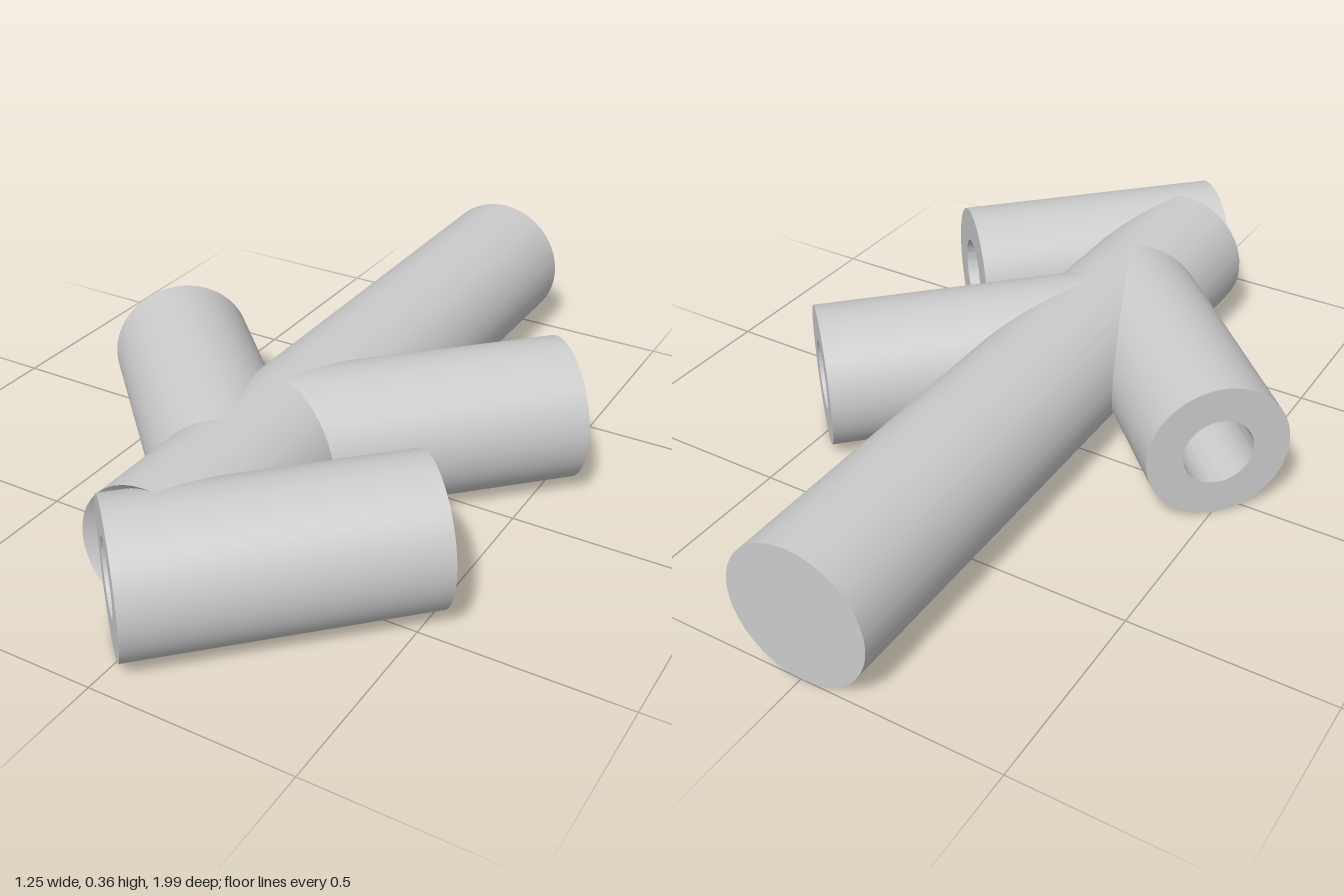
import * as THREE from 'three';
import { toCreasedNormals } from 'three/addons/utils/BufferGeometryUtils.js';

const R = 0.178, BORE = 0.088, LENGTH = 0.705;
const material = new THREE.MeshStandardMaterial({ color: 0xcccccc });

// Closed trunk along z; its front end is hollowed to leave the crossing bore clear
function trunkGeometry() {
  const g = new THREE.CylinderGeometry(R, R, 1.77, 40);
  g.rotateX(Math.PI / 2);
  g.translate(0, 0, -0.115);
  const p = g.attributes.position;
  for (let i = 0; i < p.count; i++) {
    if (p.getZ(i) < 0) continue;
    const y = p.getY(i);
    const saddle = Math.SQRT2 * Math.sqrt(Math.max(0.15 ** 2 - y * y, 0));
    p.setZ(i, Math.min(0.77, 0.825 - p.getX(i) - saddle));
  }
  return toCreasedNormals(g, 0.6);
}

// Hollow pipe starting at the origin and running along +z
function pipeGeometry() {
  const ring = new THREE.Shape().absarc(0, 0, R, 0, Math.PI * 2, false);
  ring.holes.push(new THREE.Path().absarc(0, 0, BORE, 0, Math.PI * 2, true));
  const g = new THREE.ExtrudeGeometry(ring, { depth: LENGTH, bevelEnabled: false, curveSegments: 40 });
  return toCreasedNormals(g, 0.6);
}

export function createModel() {
  const model = new THREE.Group();
  model.name = 'branchedPipe';

  const trunk = new THREE.Mesh(trunkGeometry(), material);
  trunk.name = 'trunk';
  trunk.position.set(-0.003, R, 0);
  model.add(trunk);

  // Name, inner end (x, z) and side of each 45 degree branch
  const branches = [
    ['frontLeftBranch', -0.04, 0.867, 1],
    ['rearLeftBranch', -0.003, 0.227, 1],
    ['rightBranch', -0.006, 0.441, -1],
  ];
  const pipe = pipeGeometry();
  for (const [name, x, z, side] of branches) {
    const branch = new THREE.Mesh(pipe, material);
    branch.name = name;
    branch.position.set(x, R, z);
    branch.rotation.y = side * Math.PI * 0.75;
    model.add(branch);
  }
  return model;
}
